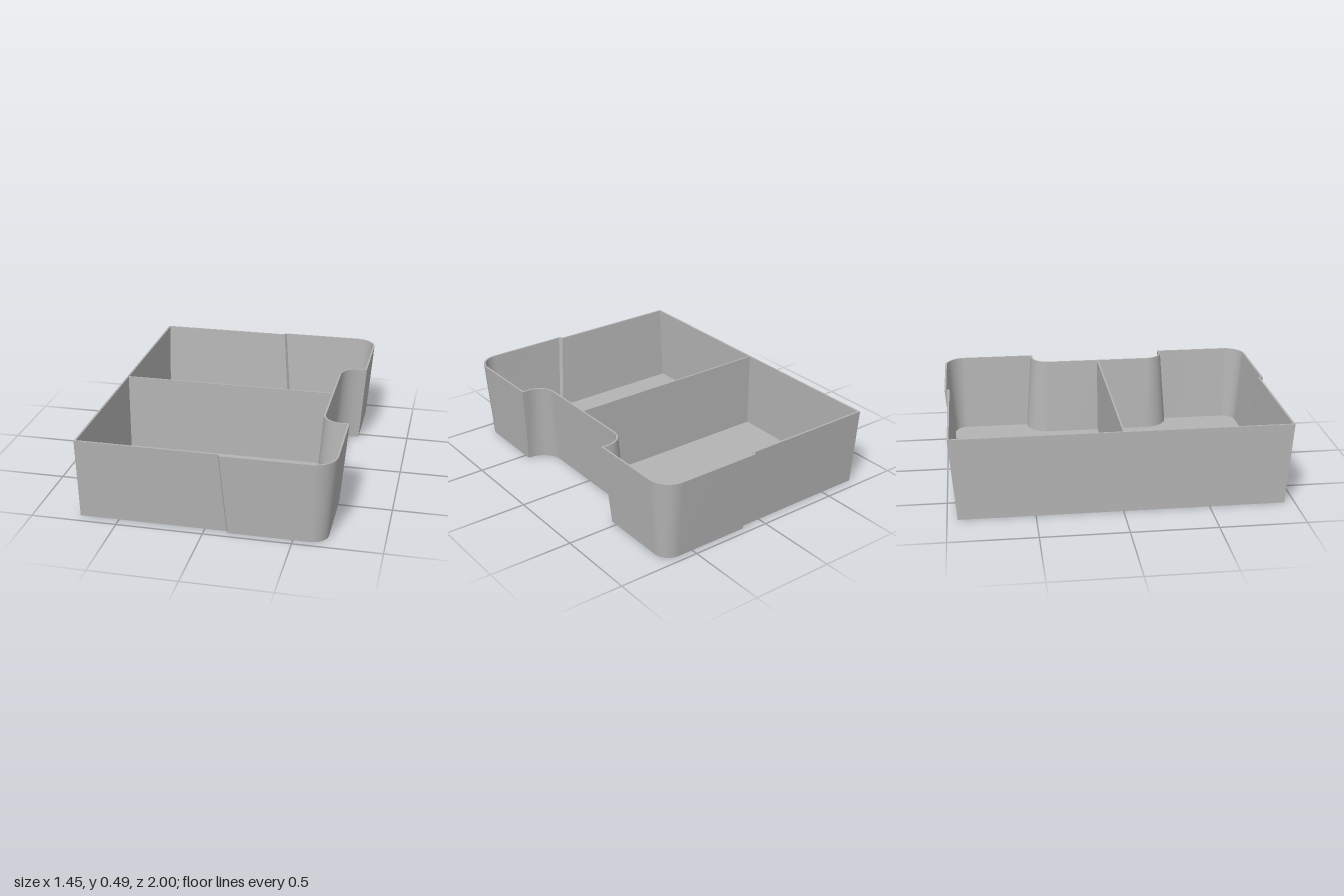
import * as THREE from 'three';
import { toCreasedNormals } from 'three/addons/utils/BufferGeometryUtils.js';

const HEIGHT = 0.485, DRAFT = 0.038, WALL = 0.011;

// Tray outline as [x, -z] points, counter-clockwise; every side but the flat back tapers.
function outline(draft, wall) {
  const s = draft + wall;
  const half = [
    [-0.728 + wall, -0.978 + s],
    [0.085 + s, -0.978 + s],
    [0.097 + s, -0.998 + s],
  ];
  const arc = (cx, cy, r, from, to, n) => {
    for (let i = 0; i <= n; i++) {
      const a = from + (to - from) * i / n;
      half.push([cx + r * Math.cos(a), cy + r * Math.sin(a)]);
    }
  };
  // rounded outer corner
  arc(0.595, -0.868, 0.13 - s, -Math.PI / 2, 0, 12);
  // sharp lip, then the rounded end of the notch
  half.push([0.725 - s, -0.423 - s]);
  arc(0.675, -0.323, 0.1 + s, -Math.PI / 2, -Math.PI, 12);
  return [...half, ...half.slice().reverse().map(([x, y]) => [x, -y])];
}

// Closed shell skinned through the outer wall, rim and inner wall, capped by the floor.
function shellGeometry() {
  const floorDraft = DRAFT * (1 - WALL / HEIGHT);
  const rings = [
    [outline(DRAFT, 0), 0],
    [outline(0, 0), HEIGHT],
    [outline(0, WALL), HEIGHT],
    [outline(floorDraft, WALL), WALL],
  ];
  const pos = [];
  const put = ([pts, y], i) => pos.push(pts[i][0], y, -pts[i][1]);
  const n = rings[0][0].length;
  for (let k = 0; k < 3; k++) {
    const a = rings[k], b = rings[k + 1];
    for (let i = 0; i < n; i++) {
      const j = (i + 1) % n;
      put(a, i); put(a, j); put(b, j);
      put(a, i); put(b, j); put(b, i);
    }
  }
  const cap = (ring, up) => {
    const contour = ring[0].map(([x, y]) => new THREE.Vector2(x, y));
    for (const [a, b, c] of THREE.ShapeUtils.triangulateShape(contour, [])) {
      (up ? [a, b, c] : [a, c, b]).forEach((i) => put(ring, i));
    }
  };
  cap(rings[0], false);
  cap(rings[3], true);
  const geo = new THREE.BufferGeometry();
  geo.setAttribute('position', new THREE.Float32BufferAttribute(pos, 3));
  return toCreasedNormals(geo, 0.4);
}

export function createModel() {
  const group = new THREE.Group();
  group.name = 'dividedTray';
  const grey = new THREE.MeshStandardMaterial({ color: 0xb4b4b4 });
  grey.name = 'grey';

  const shell = new THREE.Mesh(shellGeometry(), grey);
  shell.name = 'trayShell';
  group.add(shell);

  // Thin centre wall from the back to the sloping notch wall
  const side = new THREE.Shape([
    new THREE.Vector2(-0.722, 0.005),
    new THREE.Vector2(0.532, 0.005),
    new THREE.Vector2(0.569, HEIGHT),
    new THREE.Vector2(-0.722, HEIGHT),
  ]);
  const dividerGeo = new THREE.ExtrudeGeometry(side, { depth: 0.01, bevelEnabled: false });
  dividerGeo.translate(0, 0, -0.005);
  const divider = new THREE.Mesh(dividerGeo, grey);
  divider.name = 'divider';
  group.add(divider);

  return group;
}
